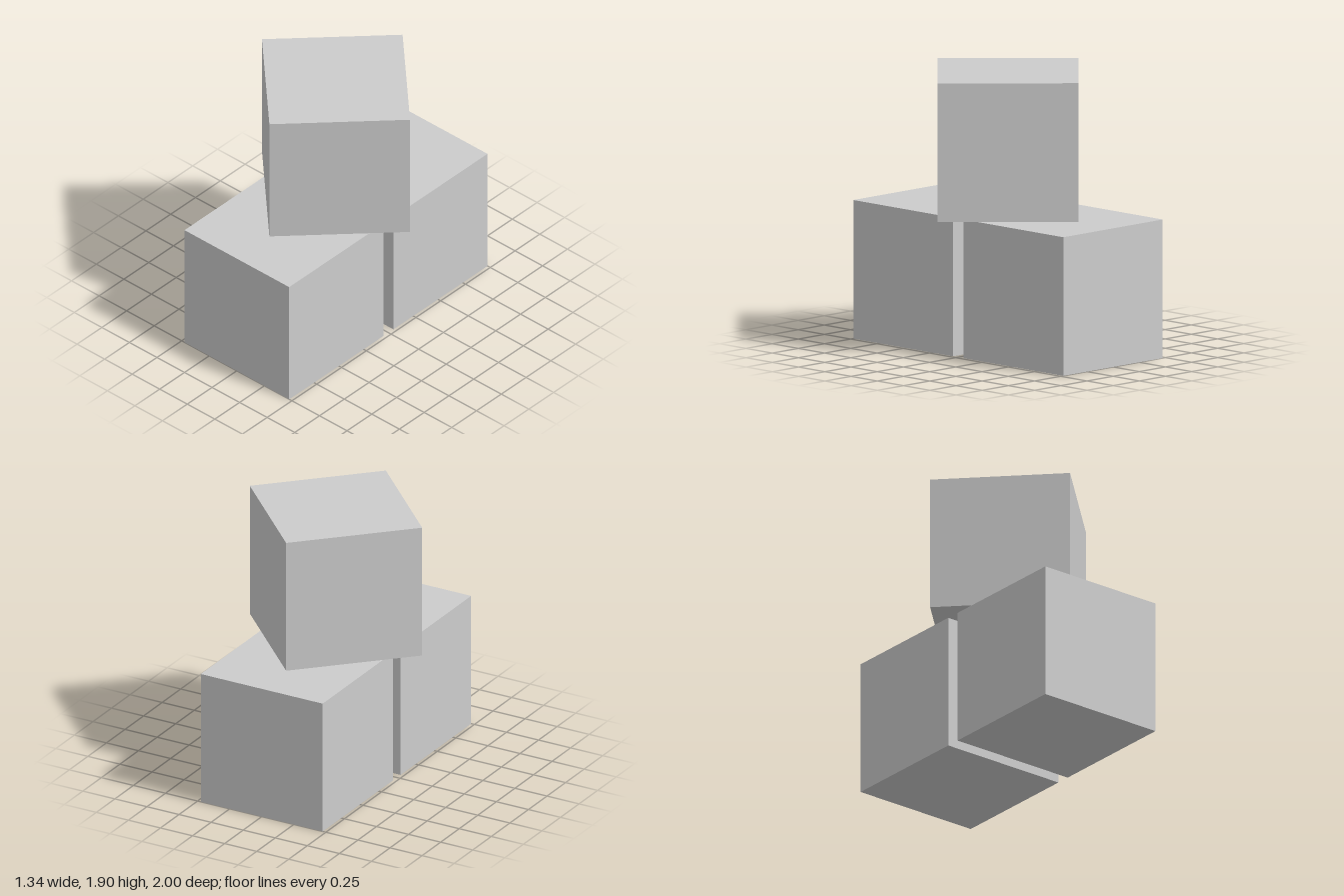
import * as THREE from 'three';

export function createModel() {
  const model = new THREE.Group();
  model.name = 'stackedCubes';

  const grey = new THREE.MeshStandardMaterial({ color: 0xcccccc });
  grey.name = 'light grey';

  const size = 0.95;
  const cube = new THREE.BoxGeometry(size, size, size);

  function addCube(name, y, z, turn = 0) {
    const mesh = new THREE.Mesh(cube, grey);
    mesh.name = name;
    mesh.position.set(0, y, z);
    mesh.rotation.y = turn;
    model.add(mesh);
  }

  // two base cubes with a narrow gap between them
  addCube('frontCube', size / 2, 1 - size / 2);
  addCube('backCube', size / 2, size / 2 - 1);

  // top cube, turned an eighth of a turn and resting across the gap
  addCube('topCube', size * 1.5 + 0.003, 0, Math.PI / 4);

  return model;
}
